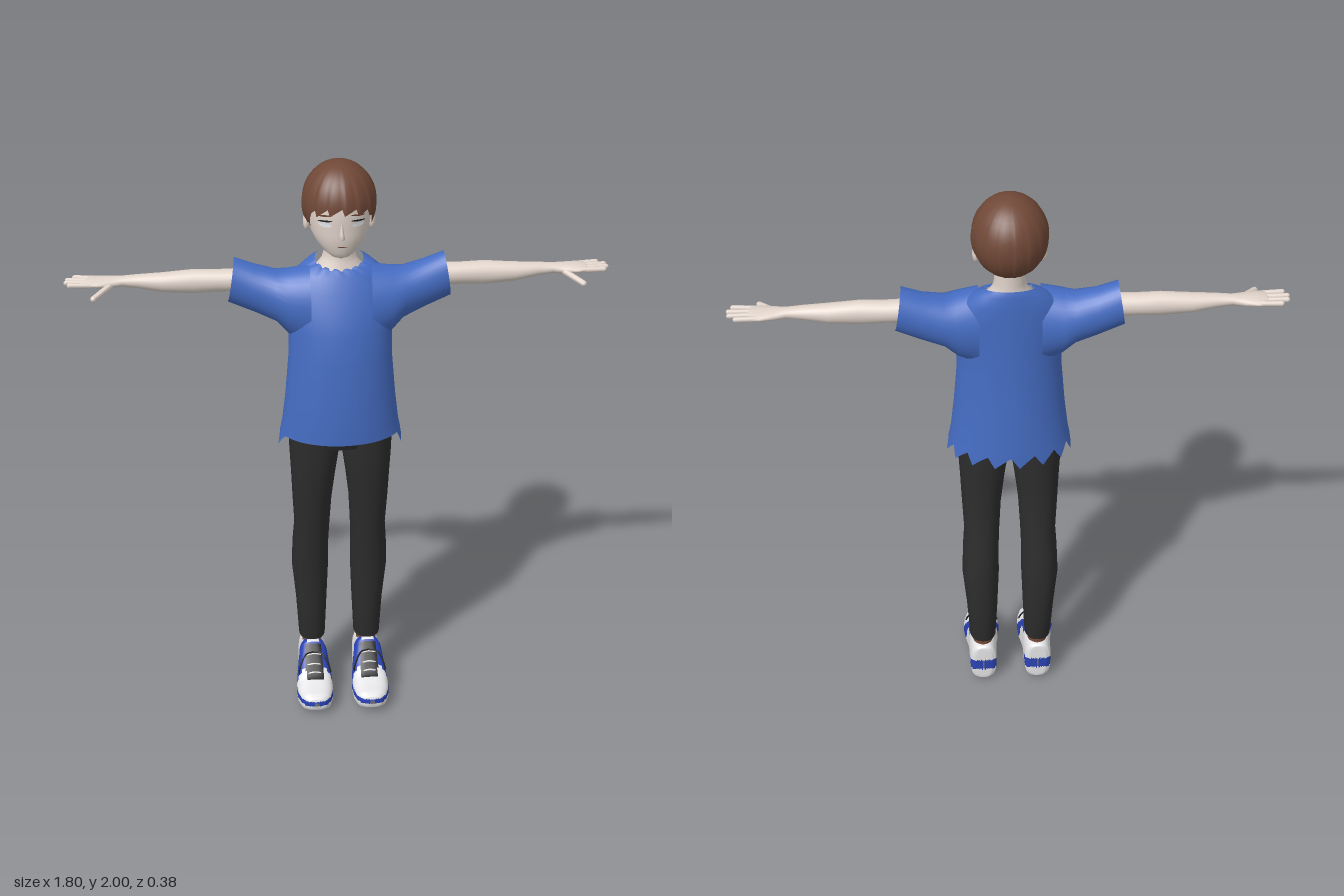
import * as THREE from 'three';

const mat = (name, color, side = THREE.FrontSide) => {
  const m = new THREE.MeshStandardMaterial({ color, side });
  m.name = name;
  return m;
};

// Closed-around grid surface; pick(x, y, z) selects a material slot per face
function grid(n, m, f, pick) {
  const pos = [], slots = [];
  for (let j = 0; j <= m; j++) for (let i = 0; i < n; i++) pos.push(...f(i, j));
  for (let j = 0; j < m; j++) for (let i = 0; i < n; i++) {
    const k = (i + 1) % n;
    const a = j * n + i, b = a + n, c = (j + 1) * n + k, d = j * n + k;
    const mid = [0, 1, 2].map(q => (pos[a * 3 + q] + pos[b * 3 + q] + pos[c * 3 + q] + pos[d * 3 + q]) / 4);
    const s = pick ? pick(...mid) : 0;
    (slots[s] ??= []).push(a, b, c, a, c, d);
  }
  const g = new THREE.BufferGeometry();
  g.setAttribute('position', new THREE.Float32BufferAttribute(pos, 3));
  g.setIndex(slots.flat());
  if (pick) {
    let start = 0;
    slots.forEach((s, i) => { g.addGroup(start, s.length, i); start += s.length; });
  }
  g.computeVertexNormals();
  return g;
}

// Interpolated row of a table sorted by its first column
function rowAt(rows, t) {
  const dir = Math.sign(rows.at(-1)[0] - rows[0][0]);
  let k = 0;
  while (k < rows.length - 2 && (t - rows[k + 1][0]) * dir > 0) k++;
  const f = THREE.MathUtils.clamp((t - rows[k][0]) / (rows[k + 1][0] - rows[k][0]), 0, 1);
  return rows[k].map((v, q) => THREE.MathUtils.lerp(v, rows[k + 1][q], f));
}

// Rings: [along, centre u, half width u, v max, v min]; z lofts run front to back
function loft(axis, rings, { n = 32, power = 1, adjust, pick } = {}) {
  const curve = v => Math.sign(v) * Math.abs(v) ** power;
  return grid(n, rings.length - 1, (i, j) => {
    const [t, cu, ru, hi, lo] = rings[j], a = i / n * Math.PI * 2;
    const u = cu + ru * curve(Math.cos(a));
    const v = (hi + lo) / 2 + (hi - lo) / 2 * curve(Math.sin(a));
    const p = axis === 'y' ? [u, t, v] : axis === 'x' ? [t, v, u] : [u, v, t];
    if (adjust) adjust(p, i, j, Math.sin(a));
    return p;
  }, pick);
}

function mirrored(geo) {
  const g = geo.clone().scale(-1, 1, 1), ix = g.index;
  for (let i = 0; i < ix.count; i += 3) {
    const b = ix.getX(i + 1);
    ix.setX(i + 1, ix.getX(i + 2));
    ix.setX(i + 2, b);
  }
  g.computeVertexNormals();
  return g;
}

function capsule(a, b, r) {
  const A = new THREE.Vector3(...a), B = new THREE.Vector3(...b), d = B.clone().sub(A);
  const q = new THREE.Quaternion().setFromUnitVectors(new THREE.Vector3(0, 1, 0), d.clone().normalize());
  const mid = A.add(B).multiplyScalar(0.5);
  return new THREE.CapsuleGeometry(r, d.length(), 5, 10).applyQuaternion(q).translate(mid.x, mid.y, mid.z);
}

const tube = (pts, r) => new THREE.TubeGeometry(
  new THREE.CatmullRomCurve3(pts.map(p => new THREE.Vector3(...p))), 12, r, 6);

export function createModel() {
  const model = new THREE.Group();
  const skin = mat('skin', 0xe0d3ca), shirt = mat('shirt blue', 0x456cc2);
  const hair = mat('hair brown', 0x704837, THREE.DoubleSide), pants = mat('trouser black', 0x2d2d2d);
  const white = mat('white', 0xeaeaec), blue = mat('shoe blue', 0x2a43b4);
  const black = mat('lace black', 0x1e1e20), sock = mat('sock brown', 0x7a4c38), sole = mat('sole grey', 0xa0a0a0);
  const add = (name, geo, m) => {
    const mesh = new THREE.Mesh(geo, m);
    mesh.name = name;
    model.add(mesh);
  };
  const pair = (name, geo, m) => {
    add(name + 'Left', geo, m);
    add(name + 'Right', mirrored(geo), m);
  };

  // Head and neck
  const headRings = [
    [1.695, 0, 0.004, 0.018, 0.005], [1.703, 0, 0.03, 0.032, -0.02], [1.72, 0, 0.054, 0.042, -0.055],
    [1.75, 0, 0.08, 0.05, -0.11], [1.78, 0, 0.095, 0.054, -0.138], [1.82, 0, 0.102, 0.053, -0.152],
    [1.86, 0, 0.105, 0.057, -0.16], [1.91, 0, 0.1, 0.048, -0.16], [1.95, 0, 0.08, 0.025, -0.14], [1.98, 0, 0.01, -0.05, -0.07]];
  add('head', loft('y', headRings), skin);
  add('neck', loft('y', [[1.6, 0, 0.1, 0.02, -0.11], [1.645, 0, 0.082, 0.008, -0.112],
    [1.67, 0, 0.058, -0.002, -0.11], [1.7, 0, 0.05, -0.004, -0.108], [1.76, 0, 0.05, 0, -0.11]]), skin);
  add('nose', loft('y', [[1.768, 0, 0.002, 0.056, 0.04], [1.775, 0, 0.011, 0.071, 0.03],
    [1.79, 0, 0.008, 0.064, 0.03], [1.825, 0, 0.004, 0.055, 0.03]], { n: 12 }), skin);
  pair('ear', new THREE.SphereGeometry(1, 14, 10).scale(0.012, 0.03, 0.02).translate(0.106, 1.8, -0.055), skin);

  // Facial details laid onto the face
  const onFace = (cx, cy, w, h, tilt, lift) => {
    const g = new THREE.CircleGeometry(1, 20).scale(w, h, 1).rotateZ(tilt).translate(cx, cy, 0);
    const p = g.attributes.position;
    for (let i = 0; i < p.count; i++) {
      const [, , rx, hi, lo] = rowAt(headRings, p.getY(i));
      p.setZ(i, (hi + lo) / 2 + (hi - lo) / 2 * Math.sqrt(Math.max(0, 1 - (p.getX(i) / rx) ** 2)) + lift);
    }
    g.computeVertexNormals();
    return g;
  };
  pair('eye', onFace(0.053, 1.822, 0.021, 0.01, 0, 0.004), white);
  pair('lash', onFace(0.053, 1.833, 0.023, 0.003, -0.1, 0.005), black);
  pair('brow', onFace(0.053, 1.851, 0.024, 0.003, -0.15, 0.004), hair);
  add('mouth', onFace(0, 1.746, 0.018, 0.0015, 0, 0.004), sock);

  // Hair cap: lower edge by facing (-1 back, 1 front), with ridged pointed locks
  const edge = [[-1, 1.735], [-0.6, 1.745], [-0.3, 1.785], [-0.1, 1.825], [0.1, 1.83],
    [0.2, 1.8], [0.45, 1.81], [0.6, 1.85], [1, 1.868]];
  add('hair', grid(96, 18, (i, j) => {
    const a = i / 96 * Math.PI * 2, s = Math.sin(a), lock = (i % 6) / 6;
    const low = rowAt(edge, s)[1] - (s > 0.4 ? 0.026 : 0.01) * (lock - 0.4);
    const th = Math.acos(THREE.MathUtils.clamp((low - 1.865) / 0.135, -1, 1)) * (1 - j / 18);
    const r = Math.sin(th) * (1 + 0.04 * (lock - 0.5) * (1 - j / 18));
    return [0.121 * r * Math.cos(a), 1.865 + 0.135 * Math.cos(th), -0.059 + 0.131 * r * s];
  }), hair);

  // Shirt body with a torn hem and a collar that dips at the front
  const tear = [0, 0.02, 0.045];
  add('shirtBody', loft('y', [
    [1.065, 0, 0.205, 0.125, -0.163], [1.1, 0, 0.198, 0.126, -0.16], [1.2, 0, 0.186, 0.125, -0.15],
    [1.35, 0, 0.173, 0.113, -0.14], [1.45, 0, 0.172, 0.098, -0.135], [1.52, 0, 0.18, 0.076, -0.132],
    [1.58, 0, 0.178, 0.05, -0.131], [1.63, 0, 0.15, 0.027, -0.129], [1.66, 0, 0.108, 0.013, -0.126],
    [1.672, 0, 0.08, 0.005, -0.118]], {
    n: 48,
    adjust: (p, i, j, s) => {
      if (j === 0 && s < 0.35) {
        p[1] -= tear[i % 3];
        p[0] *= 1 + tear[i % 3];
      }
      if (j === 8) p[1] -= 0.012 * s;
      if (j === 9) p[1] -= 0.02 * s + (s > 0.2 && i % 3 === 0 ? 0.012 : 0);
    }
  }), shirt);
  pair('sleeve', loft('x', [
    [0.1, -0.03, 0.095, 1.655, 1.38], [0.17, -0.036, 0.093, 1.642, 1.42], [0.21, -0.045, 0.082, 1.637, 1.462],
    [0.28, -0.054, 0.068, 1.655, 1.492], [0.357, -0.056, 0.06, 1.68, 1.53]],
  { adjust: (p, i, j, s) => { if (j === 4) p[0] -= 0.012 * s; } }), shirt);

  // Arms and hands
  pair('arm', loft('x', [
    [0.24, -0.06, 0.04, 1.64, 1.562], [0.4, -0.062, 0.036, 1.637, 1.563], [0.48, -0.062, 0.035, 1.64, 1.56],
    [0.58, -0.062, 0.033, 1.632, 1.567], [0.66, -0.063, 0.026, 1.628, 1.583], [0.71, -0.064, 0.022, 1.624, 1.59],
    [0.75, -0.064, 0.033, 1.623, 1.588], [0.79, -0.064, 0.042, 1.621, 1.592], [0.82, -0.065, 0.04, 1.619, 1.596],
    [0.83, -0.065, 0.006, 1.612, 1.603]], { n: 24 }), skin);
  [[-0.096, -0.1, 0.865], [-0.075, -0.078, 0.887], [-0.054, -0.055, 0.89], [-0.034, -0.031, 0.878]].forEach(
    ([z0, z1, x], i) => pair('finger' + (i + 1), capsule([0.8, 1.607, z0], [x, 1.609, z1], 0.0088), skin));
  pair('thumb', capsule([0.745, 1.602, -0.045], [0.8, 1.583, 0.024], 0.0105), skin);

  // Trousers
  add('hips', loft('y', [[1.005, 0, 0.04, 0, -0.05], [1.03, 0, 0.165, 0.088, -0.122], [1.2, 0, 0.16, 0.1, -0.13]]), pants);
  const legs = [[0.197, 0.06, 0.138, -0.03, -0.12], [0.2, 0.053, 0.147, -0.01, -0.135], [0.35, 0.046, 0.156, -0.003, -0.15],
    [0.5, 0.04, 0.17, 0.012, -0.155], [0.6, 0.04, 0.166, 0.027, -0.146], [0.68, 0.037, 0.16, 0.04, -0.133],
    [0.8, 0.03, 0.166, 0.061, -0.125], [0.9, 0.018, 0.17, 0.077, -0.126], [1, 0.004, 0.175, 0.09, -0.13], [1.1, 0, 0.176, 0.095, -0.13]];
  pair('trouserLeg', loft('y', legs.map(([y, a, b, f, k]) => [y, (a + b) / 2, (b - a) / 2, f, k]), { power: 0.88 }), pants);
  pair('sock', loft('y', [[0.13, 0.1, 0.036, -0.02, -0.115], [0.22, 0.1, 0.036, -0.022, -0.118]]), sock);

  // Shoes with coloured panels chosen face by face
  const shoe = [
    [0.19, 0.1, 0.008, 0.06, 0.045], [0.184, 0.1, 0.034, 0.074, 0.026], [0.165, 0.1, 0.052, 0.083, 0.011],
    [0.13, 0.101, 0.063, 0.09, 0.003], [0.09, 0.101, 0.066, 0.103, 0], [0.05, 0.1, 0.062, 0.135, 0],
    [0.01, 0.1, 0.056, 0.178, 0], [-0.01, 0.1, 0.053, 0.198, 0], [-0.04, 0.1, 0.05, 0.188, 0],
    [-0.08, 0.1, 0.05, 0.172, 0], [-0.122, 0.1, 0.047, 0.165, 0.002], [-0.131, 0.1, 0.032, 0.158, 0.012], [-0.132, 0.1, 0.003, 0.1, 0.06]];
  const fine = [];
  for (let k = 0; k < shoe.length - 1; k++) {
    for (let s = 0; s < 4; s++) {
      fine.push(rowAt(shoe, THREE.MathUtils.lerp(shoe[k][0], shoe[k + 1][0], s / 4)));
    }
  }
  fine.push(shoe.at(-1));
  const panel = (x, y, z) => {
    const side = Math.abs(x - 0.1), top = rowAt(shoe, z)[3];
    if (y < 0.004) return 3;
    if (side < 0.03 && z < 0.1 && z > 0 && y > top - 0.03) return 2;
    const toeBand = z > 0.075 && y > 0.046 && y < 0.064;
    const eyestay = z > -0.005 && y > 0.045 && Math.abs(z - 0.045 - (0.1 - y) * 0.45) < 0.026;
    const collar = z < 0 && z > -0.04 && y > 0.145 && side > 0.02;
    const heel = z < -0.105 && y > 0.055 && y < 0.1;
    return toeBand || eyestay || collar || heel ? 1 : 0;
  };
  pair('shoe', loft('z', fine, { n: 64, power: 0.7, pick: panel }), [white, blue, black, sole]);

  // Laces: crossing bars and a loose bow
  for (const z of [0.075, 0.05, 0.025]) {
    const y = rowAt(shoe, z)[3] + 0.002;
    pair('laceBar', tube([[0.074, y - 0.008, z], [0.1, y, z + 0.004], [0.126, y - 0.008, z]], 0.003), white);
  }
  for (const s of [-1, 1]) {
    pair('laceBow', tube([[0.1, 0.168, 0.025], [0.1 + s * 0.03, 0.172, 0.045],
      [0.1 + s * 0.05, 0.14, 0.065], [0.1 + s * 0.058, 0.112, 0.075]], 0.003), black);
  }
  return model;
}
